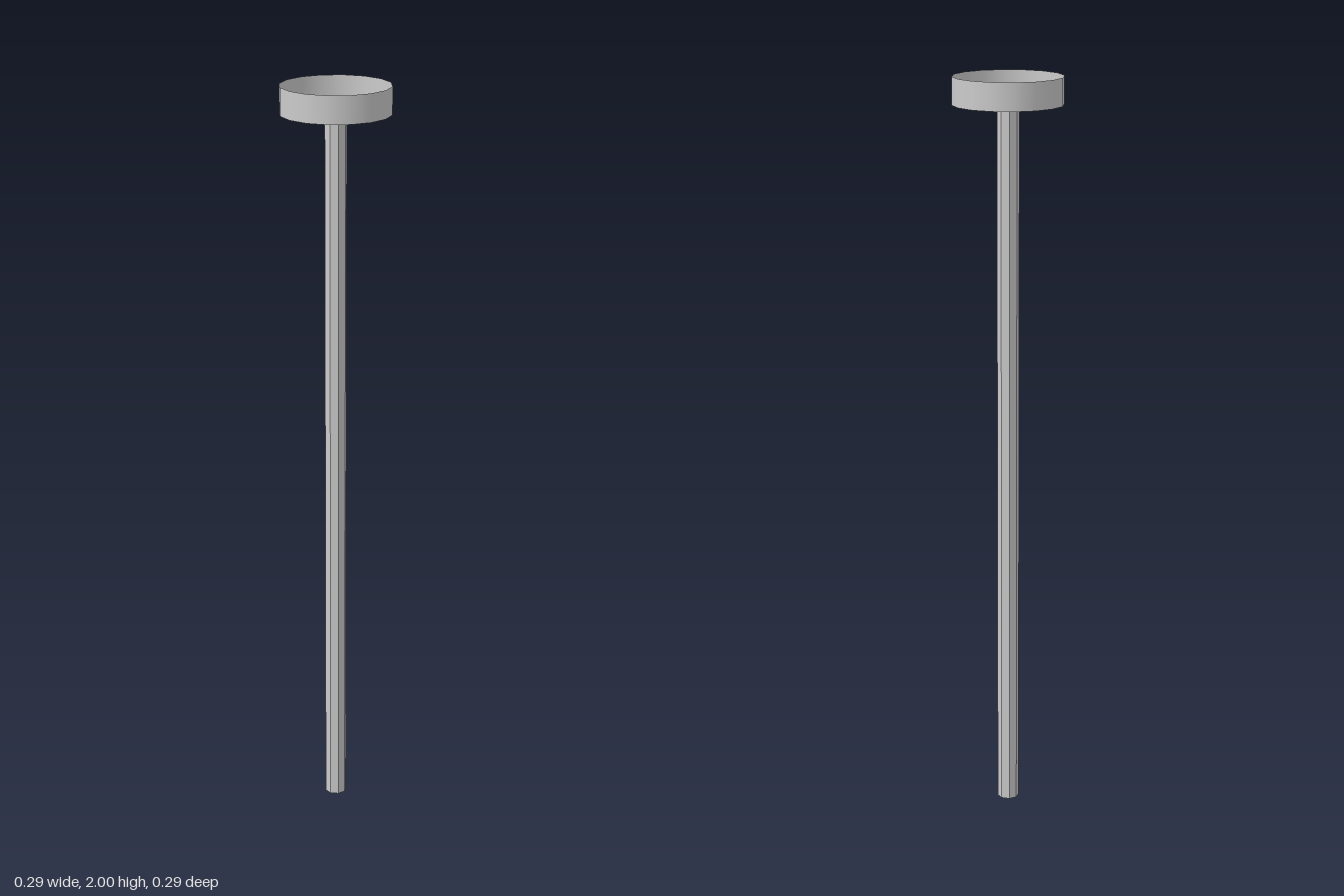
import * as THREE from 'three';

export function createModel() {
  const group = new THREE.Group();
  const smooth = new THREE.MeshStandardMaterial({ color: 0xcccccc, side: THREE.DoubleSide });
  const faceted = new THREE.MeshStandardMaterial({ color: 0xcccccc, side: THREE.DoubleSide, flatShading: true });

  const add = (name, geometry, material, y) => {
    const mesh = new THREE.Mesh(geometry, material);
    mesh.name = name;
    mesh.position.y = y;
    group.add(mesh);
  };

  const height = 2, cupRadius = 0.145, cupHeight = 0.073;
  const floorY = height - cupHeight;

  // Hollow rod, open at both ends, ending just above the cup floor
  const rodTop = floorY + 0.008;
  add('rod', new THREE.CylinderGeometry(0.029, 0.029, rodTop, 8, 1, true), faceted, rodTop / 2);

  // Shallow cup, open at the top: thin wall and flat floor
  add('cupWall', new THREE.CylinderGeometry(cupRadius, cupRadius, cupHeight, 16, 1, true), smooth, floorY + cupHeight / 2);
  add('cupFloor', new THREE.CircleGeometry(cupRadius, 16).rotateX(Math.PI / 2), smooth, floorY);

  return group;
}
